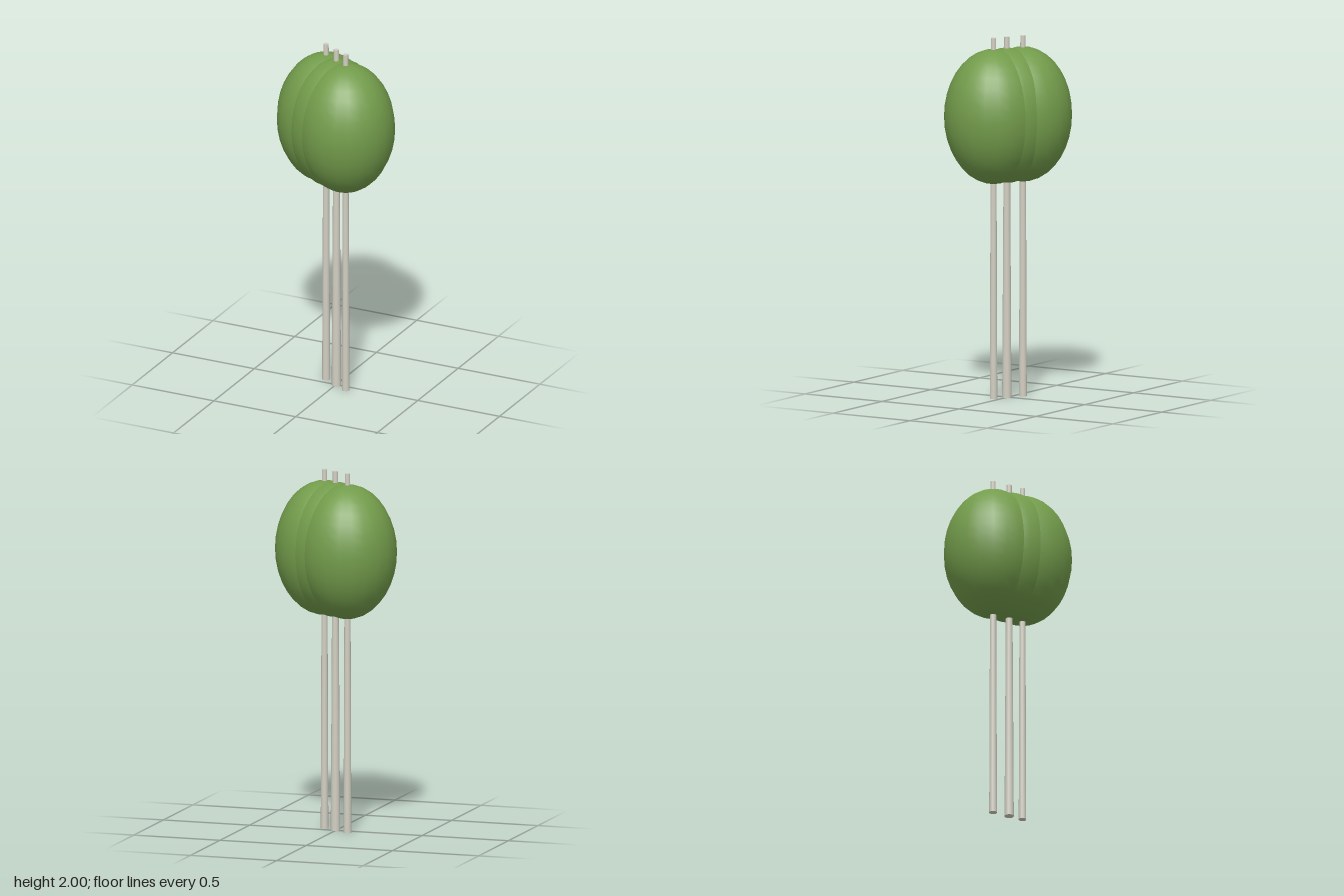
import * as THREE from 'three';

export function createModel() {
  const model = new THREE.Group();
  const bark = new THREE.MeshStandardMaterial({ color: 0xd2cec2 });
  const leaf = new THREE.MeshStandardMaterial({ color: 0x739c4b });

  // Three slim trees in a slanted row, crowns overlapping
  const trees = [
    { x: -0.083, z: -0.045, base: 0.022, spin: 0 },
    { x: 0.004, z: 0.004, base: 0.026, spin: 0.15 },
    { x: 0.08, z: 0.042, base: 0.021, spin: 0.1 },
  ];

  trees.forEach(({ x, z, base, spin }) => {
    const tree = new THREE.Group();
    tree.name = 'tree';
    tree.position.set(x, 0, z);

    // Tapered trunk, poking out above the crown
    const trunk = new THREE.Mesh(new THREE.CylinderGeometry(0.0145, base, 2, 16), bark);
    trunk.name = 'trunk';
    trunk.position.y = 1;

    // Egg-shaped foliage
    const crown = new THREE.Mesh(new THREE.SphereGeometry(1, 22, 18), leaf);
    crown.name = 'crown';
    crown.scale.set(0.272, 0.373, 0.272);
    crown.position.y = 1.565;
    crown.rotation.y = spin;

    tree.add(trunk, crown);
    model.add(tree);
  });
  return model;
}
